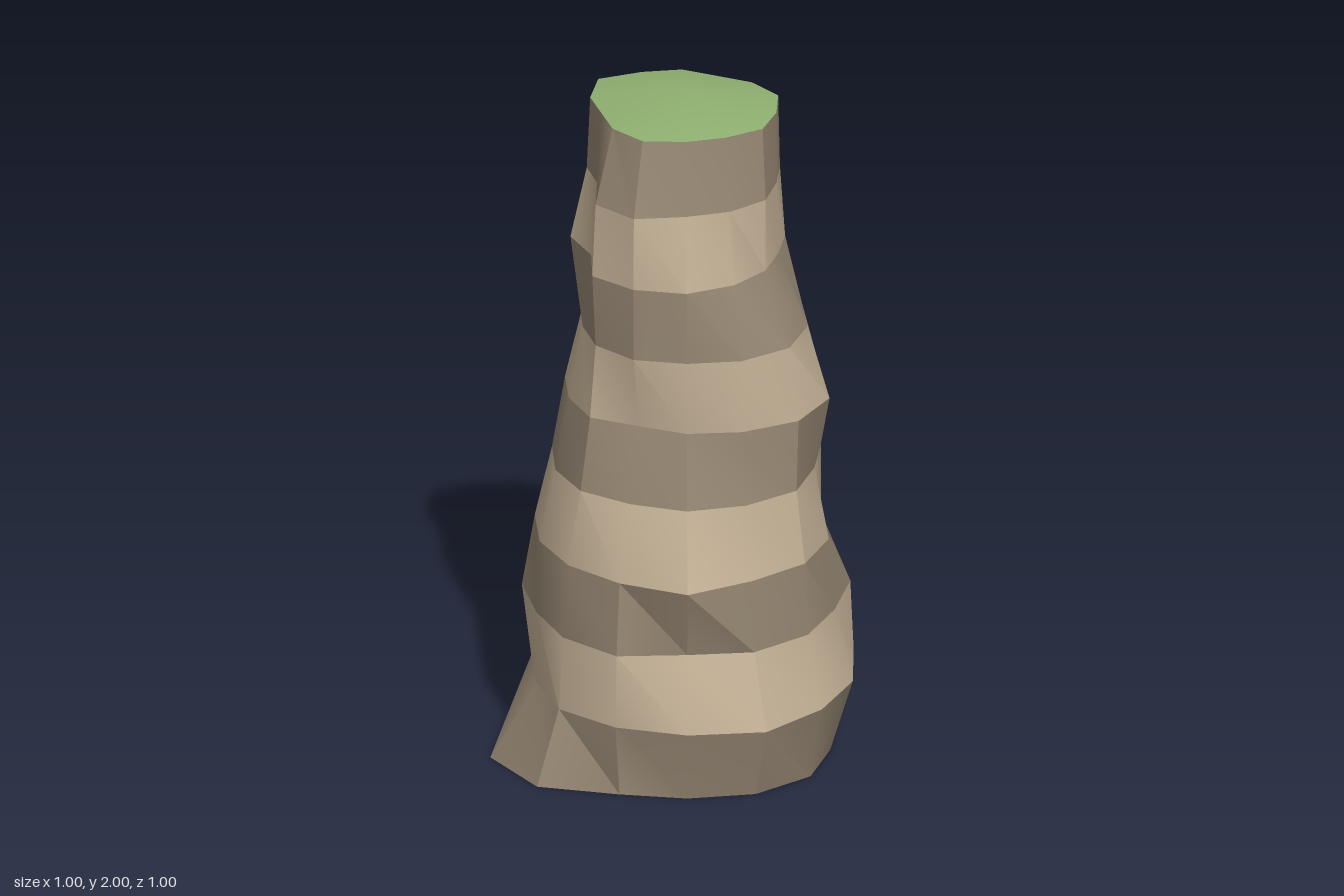
import * as THREE from 'three';
import { toCreasedNormals } from 'three/addons/utils/BufferGeometryUtils.js';

const SIDES = 14, STEP = 1.95 / 9, CX = 0.013, CZ = 0.025;

// Radii of each rock ring from the ground up, starting at +x and turning towards +z
const RINGS = [
  [0.422, 0.45, 0.447, 0.43, 0.44, 0.54, 0.564, 0.513, 0.463, 0.553, 0.538, 0.523, 0.50, 0.44],
  [0.487, 0.49, 0.514, 0.482, 0.467, 0.46, 0.43, 0.44, 0.43, 0.45, 0.42, 0.43, 0.46, 0.495],
  [0.435, 0.44, 0.438, 0.41, 0.46, 0.445, 0.43, 0.467, 0.43, 0.446, 0.49, 0.446, 0.44, 0.485],
  [0.418, 0.43, 0.43, 0.484, 0.44, 0.425, 0.42, 0.43, 0.415, 0.41, 0.43, 0.43, 0.415, 0.40],
  [0.377, 0.40, 0.39, 0.39, 0.37, 0.38, 0.375, 0.38, 0.38, 0.37, 0.395, 0.40, 0.437, 0.40],
  [0.42, 0.407, 0.365, 0.338, 0.31, 0.345, 0.335, 0.343, 0.35, 0.36, 0.365, 0.39, 0.40, 0.40],
  [0.357, 0.375, 0.36, 0.34, 0.343, 0.325, 0.295, 0.293, 0.315, 0.36, 0.355, 0.36, 0.355, 0.345],
  [0.272, 0.29, 0.315, 0.343, 0.345, 0.337, 0.27, 0.327, 0.325, 0.37, 0.36, 0.36, 0.31, 0.295],
  [0.267, 0.29, 0.29, 0.295, 0.342, 0.325, 0.25, 0.28, 0.29, 0.268, 0.298, 0.298, 0.29, 0.28],
  [0.267, 0.28, 0.26, 0.262, 0.282, 0.262, 0.24, 0.27, 0.304, 0.262, 0.251, 0.226, 0.25, 0.275],
];

function ringPoint(level, i) {
  const a = (i % SIDES) / SIDES * Math.PI * 2;
  const r = RINGS[level][i % SIDES];
  return [CX + r * Math.cos(a), level * STEP, CZ + r * Math.sin(a)];
}

// Facets stay smooth across gentle angles and sharp across strong ones
function facets(points) {
  const g = new THREE.BufferGeometry();
  g.setAttribute('position', new THREE.Float32BufferAttribute(points, 3));
  return toCreasedNormals(g, 0.5);
}

function band(level) {
  const p = [];
  for (let i = 0; i < SIDES; i++) {
    const a = ringPoint(level, i), b = ringPoint(level, i + 1);
    const c = ringPoint(level + 1, i + 1), d = ringPoint(level + 1, i);
    p.push(...a, ...d, ...c, ...a, ...c, ...b);
  }
  return facets(p);
}

// Fan from a ring to a centre point, facing up or down
function cap(level, y, up) {
  const p = [];
  for (let i = 0; i < SIDES; i++) {
    const a = ringPoint(level, i), b = ringPoint(level, i + 1);
    p.push(CX, y, CZ, ...(up ? b : a), ...(up ? a : b));
  }
  return facets(p);
}

export function createModel() {
  const group = new THREE.Group();
  group.name = 'rockPillar';
  const material = (name, color) => {
    const m = new THREE.MeshStandardMaterial({ color });
    m.name = name;
    return m;
  };
  const darkRock = material('darkRock', 0x968773);
  const lightRock = material('lightRock', 0xc4b196);
  const grass = material('grass', 0x8fb070);

  const add = (name, geometry, mat) => {
    const mesh = new THREE.Mesh(geometry, mat);
    mesh.name = name;
    group.add(mesh);
  };

  // Alternating layers of rock
  for (let level = 0; level < RINGS.length - 1; level++) {
    add(`rockLayer${level + 1}`, band(level), level % 2 ? lightRock : darkRock);
  }
  // Flat underside and low grassy peak
  add('underside', cap(0, 0, false), darkRock);
  add('grassTop', cap(RINGS.length - 1, 2, true), grass);
  return group;
}
